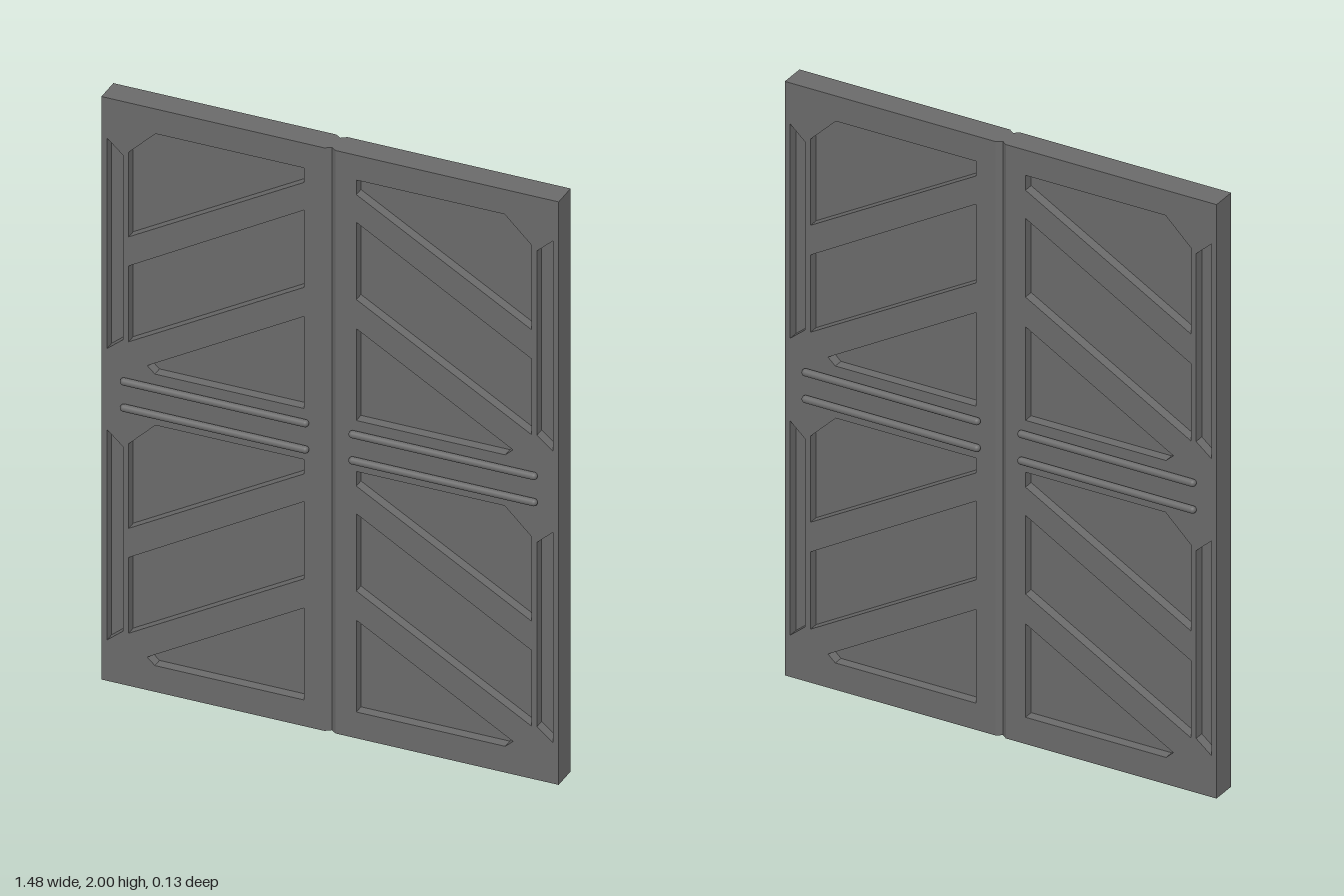
import * as THREE from 'three';

const W = 0.74, H = 2, HALF = 0.0425, DEPTH = 0.033, CORE = HALF - DEPTH;
const SEAM = 0.018, SEAM_Z = 0.03;

// Recess outlines for the upper half of the +x leaf; the lower half repeats them one unit down
const RECESSES = [
  [[0.085, 1.915], [0.565, 1.915], [0.652, 1.83], [0.652, 1.54], [0.085, 1.865]],
  [[0.085, 1.77], [0.652, 1.44], [0.652, 1.18], [0.085, 1.505]],
  [[0.085, 1.405], [0.592, 1.113], [0.567, 1.09], [0.085, 1.09]],
  [[0.67, 1.815], [0.722, 1.862], [0.722, 1.14], [0.67, 1.183]],
];

const points = (list, side, dy = 0) => list.map(([x, y]) => new THREE.Vector2(x * side, y + dy));

export function createModel() {
  const gray = new THREE.MeshStandardMaterial({ color: 0x6b6b6b });
  gray.name = 'steel gray';

  const group = new THREE.Group();
  group.name = 'doubleDoor';
  const add = (parent, name, geometry, x = 0, y = 0, z = 0) => {
    const mesh = new THREE.Mesh(geometry, gray);
    mesh.name = name;
    mesh.position.set(x, y, z);
    parent.add(mesh);
    return mesh;
  };

  for (const side of [1, -1]) {
    const leaf = new THREE.Group();
    leaf.name = side > 0 ? 'leftLeaf' : 'rightLeaf';
    group.add(leaf);

    // Core slab forms the floor of the recesses
    add(leaf, 'core', new THREE.BoxGeometry(W - SEAM, H, CORE * 2), side * (W + SEAM) / 2, H / 2, 0);

    // Face plates with the recesses cut through
    const outline = new THREE.Shape(points([[SEAM, 0], [W, 0], [W, H], [SEAM, H]], side));
    for (const dy of [0, -1])
      for (const recess of RECESSES) outline.holes.push(new THREE.Path(points(recess, side, dy)));
    const plate = new THREE.ExtrudeGeometry(outline, { depth: DEPTH, bevelEnabled: false });
    add(leaf, 'frontPlate', plate, 0, 0, CORE);
    add(leaf, 'backPlate', plate, 0, 0, -HALF);

    // Chamfered meeting edge at the centre seam
    const edge = new THREE.Shape(points(
      [[0, -SEAM_Z], [SEAM, -HALF], [SEAM, HALF], [0, SEAM_Z]], side));
    const edgeGeometry = new THREE.ExtrudeGeometry(edge, { depth: H, bevelEnabled: false });
    edgeGeometry.rotateX(-Math.PI / 2);
    add(leaf, 'meetingEdge', edgeGeometry);

    // Pairs of round rails on both faces
    const rail = new THREE.CapsuleGeometry(0.012, 0.586, 6, 16);
    rail.rotateZ(Math.PI / 2);
    for (const y of [0.956, 1.046])
      for (const z of [0.052, -0.052])
        add(leaf, z > 0 ? 'frontRail' : 'backRail', rail, side * 0.37, y, z);
  }
  return group;
}
